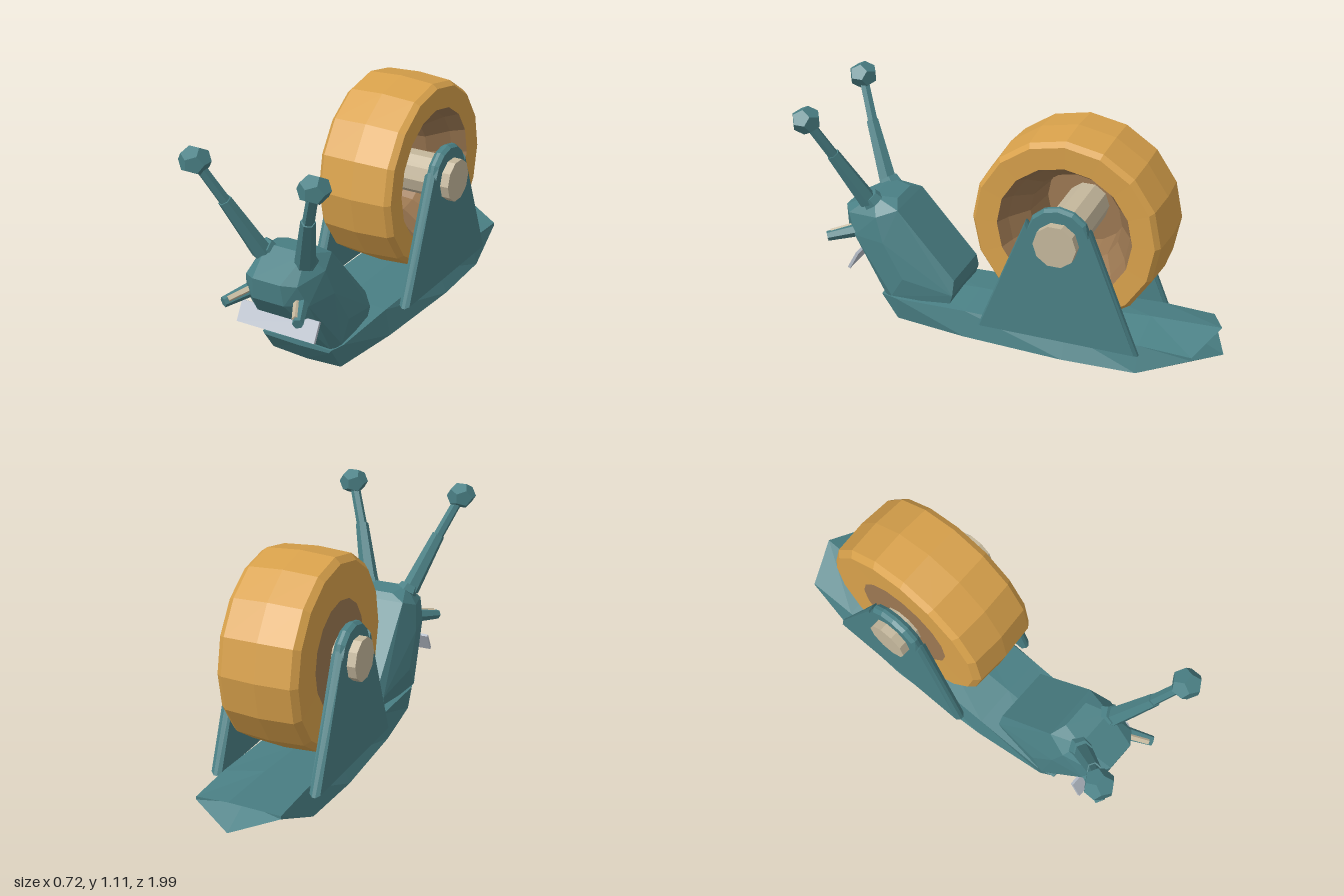
import * as THREE from 'three';
import { ConvexGeometry } from 'three/addons/geometries/ConvexGeometry.js';

const mat = (name, color) => {
  const m = new THREE.MeshStandardMaterial({ color });
  m.name = name;
  return m;
};

// Faceted normals for the low-poly look
const facet = (geo) => {
  const g = geo.index ? geo.toNonIndexed() : geo;
  g.computeVertexNormals();
  return g;
};

export function createModel() {
  const teal = mat('teal', 0x4a8085);
  const orange = mat('orange', 0xd8a14b);
  const brown = mat('brown', 0x9c7852);
  const beige = mat('beige', 0xc4b79c);
  const steel = mat('steel', 0xb8bfca);

  const model = new THREE.Group();
  model.name = 'snailTapeDispenser';
  const add = (name, geo, material, parent = model) => {
    const mesh = new THREE.Mesh(facet(geo), material);
    mesh.name = name;
    parent.add(mesh);
    return mesh;
  };

  // Tapered bar between two points
  const bar = (name, a, b, ra, rb, sides, material, parent) => {
    const from = new THREE.Vector3(...a), to = new THREE.Vector3(...b);
    const dir = to.clone().sub(from);
    const mesh = add(name, new THREE.CylinderGeometry(rb, ra, dir.length(), sides), material, parent);
    mesh.position.copy(from).add(to).multiplyScalar(0.5);
    mesh.quaternion.setFromUnitVectors(new THREE.Vector3(0, 1, 0), dir.normalize());
    return mesh;
  };

  // Foot: half sections (bottom centre, bottom rim, top rim, top centre), front to tail
  const section = (z, yb, wb, yr, wt, yt, yc) => [[0, yb, z], [wb, yr, z], [wt, yt, z], [0, yc, z]];
  const sections = [
    section(0.64, 0.12, 0.17, 0.125, 0.18, 0.14, 0.15),
    section(0.56, 0.01, 0.18, 0.02, 0.195, 0.135, 0.15),
    section(0.2, 0, 0.225, 0.02, 0.2, 0.145, 0.165),
    section(-0.3, 0, 0.25, 0.02, 0.2, 0.14, 0.165),
    section(-0.65, 0.005, 0.235, 0.02, 0.205, 0.15, 0.19),
    [[0, 0.06, -1], [0.205, 0.125, -0.9], [0.205, 0.14, -0.9], [0, 0.2, -0.985]],
  ];
  const rings = sections.map((h) => [...h, ...[h[2], h[1]].map(([x, y, z]) => [-x, y, z])]);
  const tris = [];
  const last = rings.length - 1;
  for (let i = 0; i < 6; i++) {
    const j = (i + 1) % 6;
    for (let s = 0; s < last; s++) {
      const a = rings[s], b = rings[s + 1];
      tris.push(a[i], b[i], a[j], a[j], b[i], b[j]);
    }
    tris.push([0, 0.135, 0.64], rings[0][i], rings[0][j]);
    tris.push([0, 0.132, -0.85], rings[last][j], rings[last][i]); // notched tail end
  }
  const footGeo = new THREE.BufferGeometry();
  footGeo.setAttribute('position', new THREE.Float32BufferAttribute(tris.flat(), 3));
  add('foot', footGeo, teal);

  // Head and neck as one faceted hull, mirrored in x
  const hull = [
    [0.16, 0.13, 0.30], [0.165, 0.19, 0.28], [0.14, 0.26, 0.28],
    [0.2, 0.15, 0.58], [0.2, 0.25, 0.52], [0.17, 0.13, 0.62],
    [0.19, 0.42, 0.62], [0.17, 0.54, 0.66], [0.14, 0.58, 0.56],
    [0.10, 0.62, 0.70], [0.07, 0.61, 0.59],
    [0.16, 0.42, 0.78], [0.13, 0.52, 0.82], [0.07, 0.53, 0.86],
    [0.08, 0.43, 0.85], [0.11, 0.34, 0.77],
  ];
  add('head', new ConvexGeometry(
    hull.flatMap(([x, y, z]) => [new THREE.Vector3(x, y, z), new THREE.Vector3(-x, y, z)])), teal);

  // Cutting blade under the chin
  const blade = add('cuttingBlade', new THREE.BoxGeometry(0.4, 0.098, 0.014), steel);
  blade.position.set(0, 0.302, 0.777);
  blade.rotation.x = -0.5;

  // Tape roll: closed on one side, hollow on the other, axis along x
  const lathe = (profile) => new THREE.LatheGeometry(
    profile.map(([r, x]) => new THREE.Vector2(r, x)), 16).rotateZ(-Math.PI / 2);
  const roll = new THREE.Group();
  roll.name = 'tapeRoll';
  roll.position.set(0, 0.642, -0.28);
  model.add(roll);
  add('tape', lathe([[0.25, -0.19], [0.42, -0.192], [0.448, -0.165], [0.457, 0],
    [0.445, 0.165], [0.425, 0.192], [0.32, 0.188]]), orange, roll);
  add('coreRecess', lathe([[0.32, 0.188], [0.29, 0.12], [0.22, 0.02], [0.2, -0.16], [0, -0.16]]), brown, roll);
  add('coreDisc', lathe([[0, -0.19], [0.25, -0.19]]), brown, roll);

  // Axle
  const axle = add('axle', new THREE.CylinderGeometry(0.102, 0.102, 0.62, 10).rotateZ(Math.PI / 2), beige);
  axle.position.set(0, 0.636, -0.28);

  // Side brackets: triangular plates with a rounded top
  const plate = new THREE.Shape();
  plate.moveTo(0.1, 0.13);
  plate.lineTo(-0.65, 0.13);
  plate.lineTo(-0.425, 0.7);
  for (let i = 0; i <= 6; i++) {
    const a = Math.PI * (0.94 - i * 0.147);
    plate.lineTo(-0.28 + 0.145 * Math.cos(a), 0.65 + 0.14 * Math.sin(a));
  }
  plate.lineTo(-0.125, 0.7);
  const bracketGeo = () => new THREE.ExtrudeGeometry(plate, {
    depth: 0.016, bevelEnabled: true, bevelSize: 0.012, bevelThickness: 0.018, bevelSegments: 1,
  }).translate(0, 0, -0.008).rotateY(-Math.PI / 2);

  for (const s of [1, -1]) {
    const side = s > 0 ? 'left' : 'right';
    add(side + 'Bracket', bracketGeo(), teal).position.x = s * 0.243;

    // Eye stalk with collar, two-step stem and ball
    const stalk = new THREE.Group();
    stalk.name = side + 'EyeStalk';
    model.add(stalk);
    bar('collar', [s * 0.1, 0.585, 0.7], [s * 0.11, 0.615, 0.72], 0.055, 0.045, 6, teal, stalk);
    bar('lowerStem', [s * 0.11, 0.59, 0.725], [s * 0.208, 0.855, 0.845], 0.046, 0.032, 6, teal, stalk);
    bar('upperStem', [s * 0.205, 0.845, 0.84], [s * 0.275, 1.01, 0.91], 0.026, 0.024, 6, teal, stalk);
    const ball = add('eyeball', new THREE.DodecahedronGeometry(0.072), teal, stalk);
    ball.position.set(s * 0.292, 1.048, 0.925);
    ball.scale.y = 0.9;

    // Short feeler with a pale inner strip
    bar(side + 'Feeler', [s * 0.12, 0.435, 0.77], [s * 0.19, 0.405, 0.91], 0.034, 0.024, 6, teal);
    bar(side + 'FeelerStrip', [s * 0.118, 0.445, 0.8], [s * 0.172, 0.42, 0.9], 0.018, 0.016, 5, beige);
  }
  return model;
}
